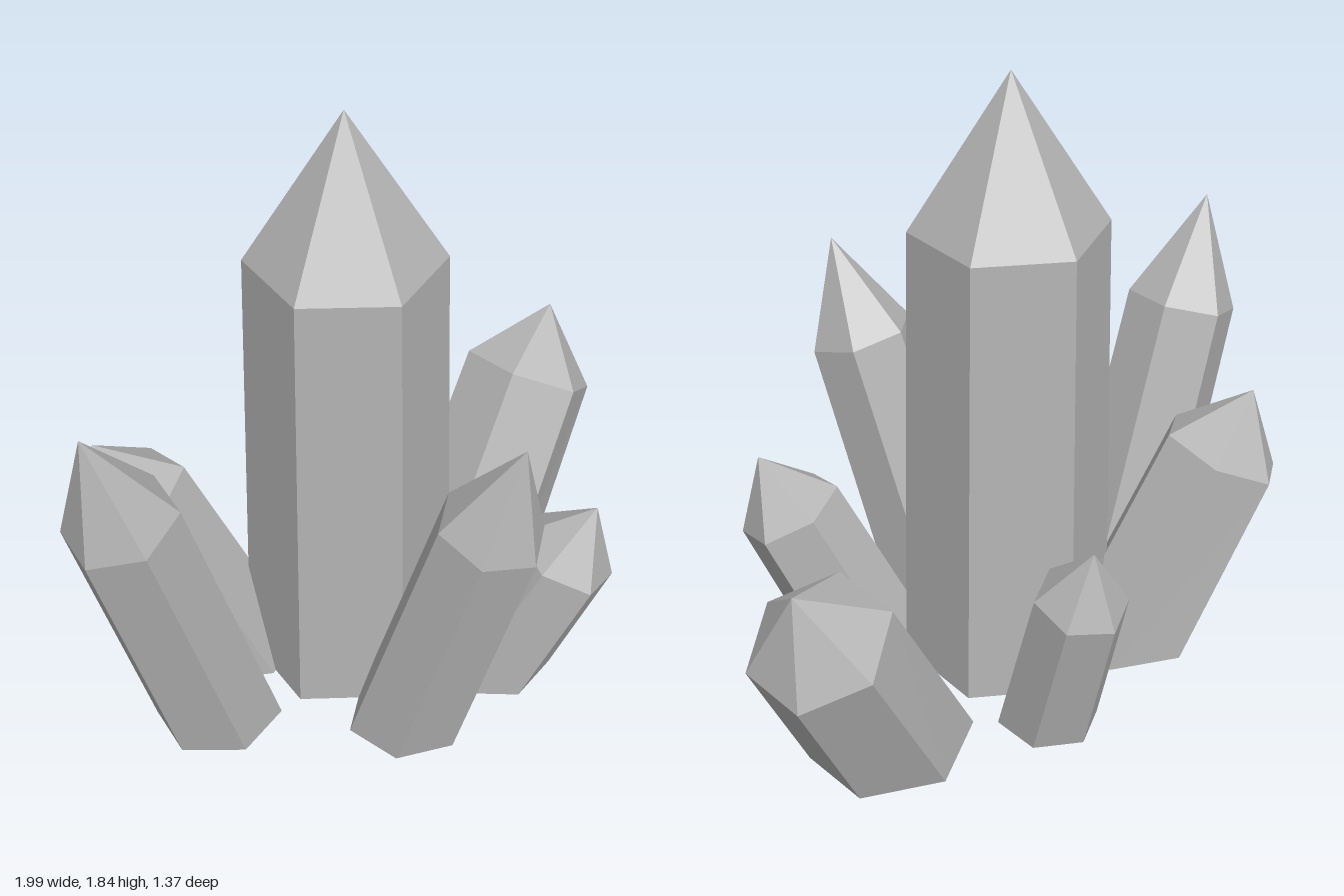
import * as THREE from 'three';

const SIDES = 6;

// Six-sided pointed crystal: a tapered prism cut by the ground, with a pyramid tip.
// base, shoulder, tip: axis points; twist in degrees; sink: depth of the root below ground.
function crystalGeometry({ base, shoulder, tip, baseR, topR, twist, sink = 0.12 }) {
  const b = new THREE.Vector3(...base);
  const s = new THREE.Vector3(...shoulder);
  const axis = s.clone().sub(b).normalize();
  const tilt = new THREE.Quaternion().setFromUnitVectors(new THREE.Vector3(0, 1, 0), axis);
  const ring = (centre, r) => Array.from({ length: SIDES }, (_, i) => {
    const a = THREE.MathUtils.degToRad(twist + (i * 360) / SIDES);
    return new THREE.Vector3(r * Math.cos(a), 0, r * Math.sin(a)).applyQuaternion(tilt).add(centre);
  });

  const upper = ring(s, topR);
  // Slide each root corner along the axis to the ground, unless the root ends above it
  const lower = ring(b, baseR).map((p) => {
    const y = Math.max(0, p.y - sink);
    return p.addScaledVector(axis, (y - p.y) / axis.y);
  });

  const apex = new THREE.Vector3(...tip);
  const points = [];
  for (let i = 0; i < SIDES; i++) {
    const j = (i + 1) % SIDES;
    points.push(lower[i], upper[i], lower[j], lower[j], upper[i], upper[j]); // side
    points.push(upper[i], apex, upper[j]); // tip facet
    points.push(b, lower[i], lower[j]); // underside
  }
  const geometry = new THREE.BufferGeometry().setFromPoints(points);
  geometry.computeVertexNormals();
  return geometry;
}

export function createModel() {
  const group = new THREE.Group();
  group.name = 'crystalCluster';
  const stone = new THREE.MeshStandardMaterial({ color: 0xb4b4b4, flatShading: true });
  stone.name = 'grey crystal';

  const crystals = {
    mainCrystal: {
      base: [-0.06, 0, -0.085], shoulder: [-0.06, 1.39, -0.08], tip: [-0.06, 1.84, -0.08],
      baseR: 0.308, topR: 0.283, twist: -18,
    },
    rightCrystal: {
      base: [-0.56, 0, -0.12], shoulder: [-0.84, 0.88, -0.135], tip: [-0.94, 1.2, -0.14],
      baseR: 0.18, topR: 0.168, twist: -15,
    },
    backRightCrystal: {
      base: [-0.33, 0, -0.335], shoulder: [-0.556, 0.61, -0.495], tip: [-0.626, 0.8, -0.545],
      baseR: 0.2, topR: 0.187, twist: -26,
    },
    backLeftCrystal: {
      base: [0.15, 0, -0.41], shoulder: [0.195, 0.5, -0.553], tip: [0.21, 0.68, -0.6],
      baseR: 0.145, topR: 0.135, twist: -21,
    },
    leftCrystal: {
      base: [0.52, 0, -0.145], shoulder: [0.83, 0.54, -0.175], tip: [0.93, 0.74, -0.185],
      baseR: 0.225, topR: 0.21, twist: -23, sink: 0.06,
    },
    frontCrystal: {
      base: [-0.18, 0, 0.285], shoulder: [-0.11, 0.83, 0.535], tip: [-0.085, 1.13, 0.625],
      baseR: 0.17, topR: 0.159, twist: 25,
    },
    frontLeftCrystal: {
      base: [0.17, 0, 0.28], shoulder: [0.315, 0.44, 0.445], tip: [0.37, 0.62, 0.51],
      baseR: 0.172, topR: 0.16, twist: -14,
    },
  };

  for (const [name, spec] of Object.entries(crystals)) {
    const mesh = new THREE.Mesh(crystalGeometry(spec), stone);
    mesh.name = name;
    group.add(mesh);
  }
  return group;
}
